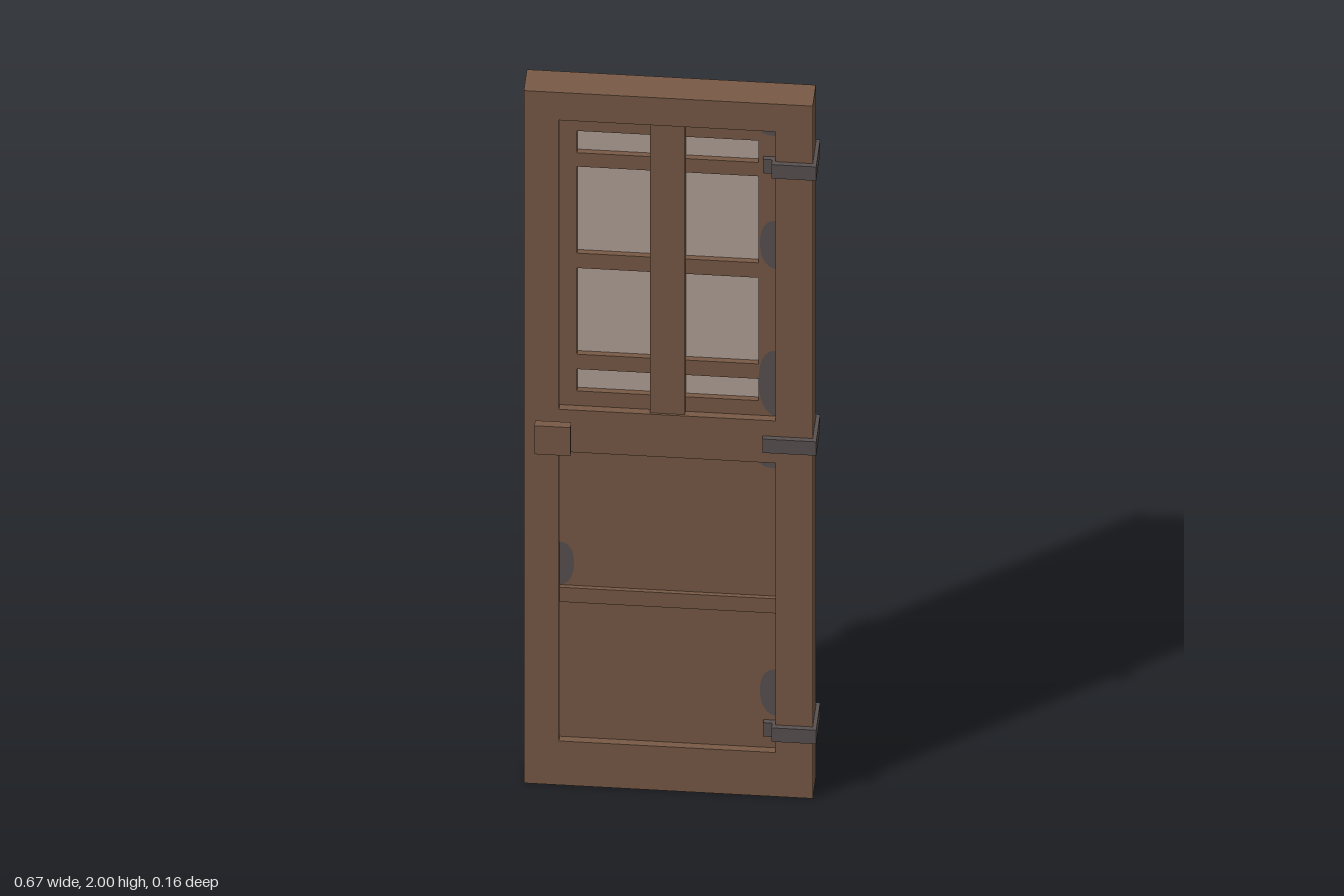
import * as THREE from 'three';

const wood = new THREE.MeshStandardMaterial({ color: 0x785a46 });
wood.name = 'wood';
const iron = new THREE.MeshStandardMaterial({ color: 0x595250 });
iron.name = 'iron';
const glass = new THREE.MeshStandardMaterial({ color: 0xb2a297 });
glass.name = 'glass';

// Outlines are given as [x0, x1, y0, y1]
function trace(path, [x0, x1, y0, y1]) {
  path.moveTo(x0, y0);
  path.lineTo(x1, y0);
  path.lineTo(x1, y1);
  path.lineTo(x0, y1);
  path.closePath();
  return path;
}

// Box between two z planes
function block(parent, name, [x0, x1, y0, y1], z0, z1, material) {
  const mesh = new THREE.Mesh(new THREE.BoxGeometry(x1 - x0, y1 - y0, z1 - z0), material);
  mesh.position.set((x0 + x1) / 2, (y0 + y1) / 2, (z0 + z1) / 2);
  mesh.name = name;
  parent.add(mesh);
}

// Board of half thickness h, centred on z = 0, with rectangular openings
function board(parent, name, outline, holes, h) {
  const shape = trace(new THREE.Shape(), outline);
  holes.forEach((r) => shape.holes.push(trace(new THREE.Path(), r)));
  const geometry = new THREE.ExtrudeGeometry(shape, { depth: 2 * h, bevelEnabled: false });
  geometry.translate(0, 0, -h);
  const mesh = new THREE.Mesh(geometry, wood);
  mesh.name = name;
  parent.add(mesh);
}

export function createModel() {
  const door = new THREE.Group();
  door.name = 'door';

  const left = -0.257, right = 0.241;
  const window = [left, right, 1.085, 1.92];
  const lower = [left, right, 0.127, 0.963];

  // Outer frame with two openings
  board(door, 'frame', [-0.338, 0.327, 0, 2], [window, lower], 0.04);

  // Window sash with eight panes in two columns
  const panes = [];
  for (const [x0, x1] of [[-0.217, -0.048], [0.032, 0.201]]) {
    for (const [y0, y1] of [[1.127, 1.19], [1.233, 1.482], [1.525, 1.775], [1.815, 1.878]]) {
      panes.push([x0, x1, y0, y1]);
    }
  }
  board(door, 'windowSash', window, panes, 0.022);
  panes.forEach((p) => block(door, 'pane', p, -0.008, 0.008, glass));
  block(door, 'mullion', [-0.048, 0.032, 1.085, 1.92], -0.035, 0.035, wood);

  // Lower panel and its cross rail
  block(door, 'lowerPanel', lower, -0.022, 0.022, wood);
  block(door, 'crossRail', [left, right, 0.523, 0.565], -0.032, 0.032, wood);

  // Dark stains on the recessed edges: [edge x, reach, y0, y1], repeated half a turn round
  const stains = [
    [right, -0.04, 1.085, 1.275], [right, -0.037, 1.51, 1.65], [right, -0.035, 1.895, 1.92],
    [left, 0.033, 0.565, 0.69], [right, -0.037, 0.22, 0.355], [right, -0.035, 0.935, 0.963],
  ];
  for (const [x, reach, y0, y1] of stains) {
    const h = y1 - y0;
    const shape = new THREE.Shape();
    shape.moveTo(x, y0);
    shape.bezierCurveTo(x + reach * 0.8, y0 + h * 0.05, x + reach, y0 + h * 0.3, x + reach, y0 + h * 0.55);
    shape.bezierCurveTo(x + reach, y0 + h * 0.85, x + reach * 0.6, y1, x, y1);
    shape.closePath();
    const geometry = new THREE.ShapeGeometry(shape);
    for (const back of [false, true]) {
      const mesh = new THREE.Mesh(geometry, iron);
      mesh.name = 'stain';
      mesh.position.z = back ? -0.0235 : 0.0235;
      if (back) {
        mesh.rotation.y = Math.PI;
        mesh.position.x = left + right;
      }
      door.add(mesh);
    }
  }

  // Hinges wrapped around the left edge; outer ones step down into the recess
  for (const [y, stepped] of [[1.814, true], [1.02, false], [0.187, true]]) {
    const hinge = new THREE.Group();
    hinge.name = 'hinge';
    const y0 = y - 0.02, y1 = y + 0.02;
    block(hinge, 'hingeWrap', [0.327, 0.336, y0, y1], -0.052, 0.052, iron);
    for (const s of [1, -1]) {
      const piece = (name, x0, x1, a, b) =>
        block(hinge, name, [x0, x1, y0, y1], Math.min(s * a, s * b), Math.max(s * a, s * b), iron);
      piece('hingeStrap', stepped ? 0.233 : 0.212, 0.327, 0.04, 0.052);
      if (stepped) {
        piece('hingeStep', 0.233, 0.241, 0.022, 0.04);
        piece('hingeTab', 0.212, 0.233, 0.022, 0.034);
      }
    }
    door.add(hinge);
  }

  // Square handles on both faces
  for (const s of [1, -1]) {
    const handle = new THREE.Group();
    handle.name = s > 0 ? 'frontHandle' : 'backHandle';
    const z = [0.04, 0.062, 0.082].map((v) => v * s);
    block(handle, 'handleStem', [-0.289, -0.247, 1.004, 1.046], Math.min(z[0], z[1]), Math.max(z[0], z[1]), iron);
    block(handle, 'handlePlate', [-0.31, -0.227, 0.984, 1.066], Math.min(z[1], z[2]), Math.max(z[1], z[2]), wood);
    door.add(handle);
  }

  return door;
}
